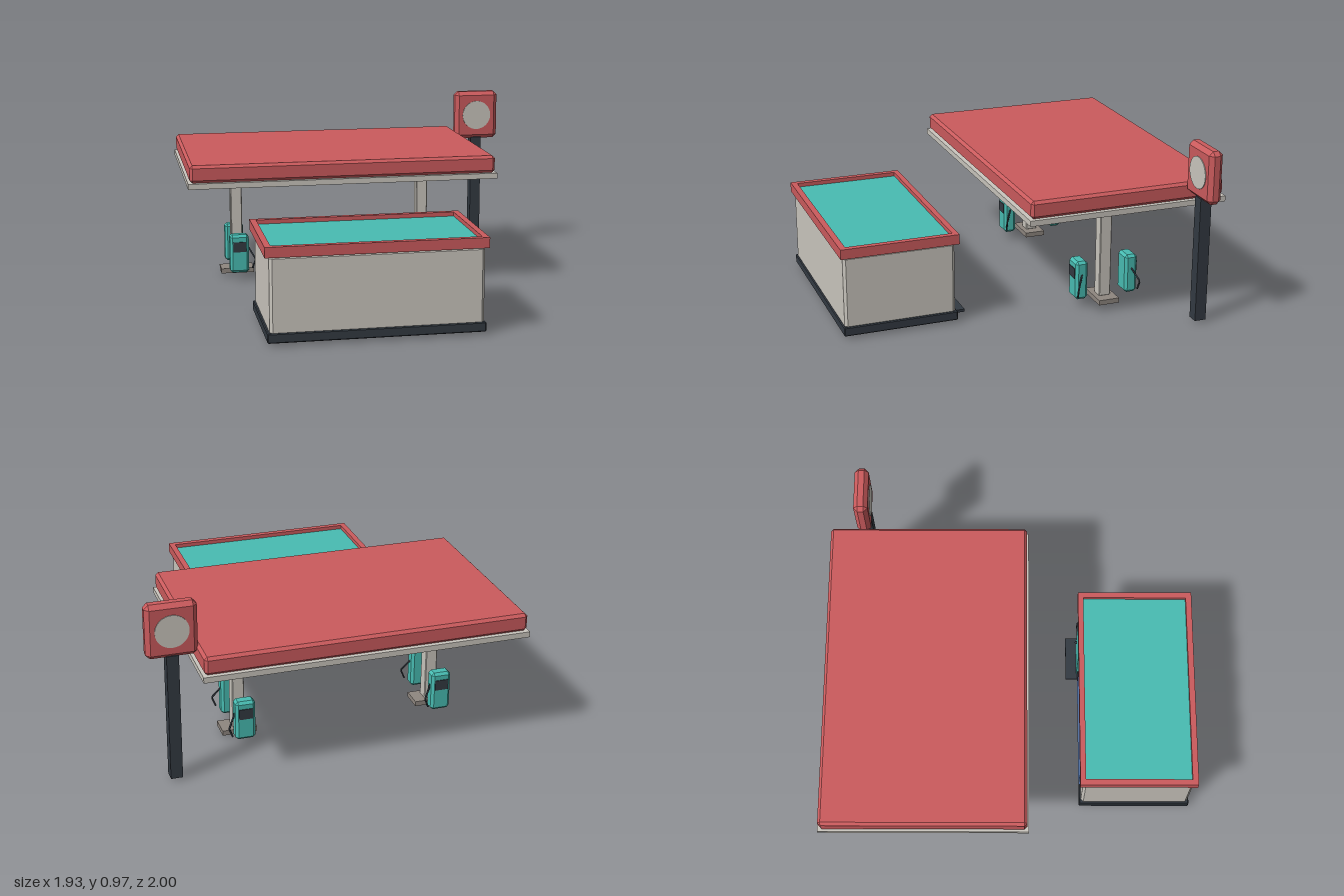
import * as THREE from 'three';
import { ConvexGeometry } from 'three/addons/geometries/ConvexGeometry.js';

const paint = (name, color) => {
  const m = new THREE.MeshStandardMaterial({ color });
  m.name = name;
  return m;
};

export function createModel() {
  const red = paint('red', 0xcb5b5d);
  const teal = paint('teal', 0x48bcb2);
  const cream = paint('cream', 0xcac6be);
  const dark = paint('charcoal', 0x333a42);
  const blue = paint('window blue', 0x5f83bd);
  const stone = paint('stone', 0x8f8780);

  const model = new THREE.Group();
  model.name = 'fuelStation';

  const add = (parent, name, geometry, material) => {
    const mesh = new THREE.Mesh(geometry, material);
    mesh.name = name;
    parent.add(mesh);
    return mesh;
  };

  // Box from min/max ranges; a chamfer above zero bevels every edge.
  const block = (parent, name, material, [x0, x1], [y0, y1], [z0, z1], chamfer = 0) => {
    const w = x1 - x0, h = y1 - y0, d = z1 - z0;
    let geometry = new THREE.BoxGeometry(w, h, d);
    if (chamfer > 0) {
      const points = [];
      for (const i of [-1, 1]) for (const j of [-1, 1]) for (const k of [-1, 1]) {
        for (let axis = 0; axis < 3; axis++) {
          const inset = [chamfer, chamfer, chamfer];
          inset[axis] = 0;
          points.push(new THREE.Vector3(
            i * (w / 2 - inset[0]), j * (h / 2 - inset[1]), k * (d / 2 - inset[2])));
        }
      }
      geometry = new ConvexGeometry(points);
    }
    const mesh = add(parent, name, geometry, material);
    mesh.position.set((x0 + x1) / 2, (y0 + y1) / 2, (z0 + z1) / 2);
    return mesh;
  };

  const group = (name) => {
    const g = new THREE.Group();
    g.name = name;
    model.add(g);
    return g;
  };

  // Canopy
  const canopy = group('canopy');
  block(canopy, 'canopySoffit', cream, [-0.965, 0.725], [0.605, 0.635], [-1, 0.095]);
  block(canopy, 'canopyRoof', red, [-0.955, 0.715], [0.635, 0.73], [-0.99, 0.085], 0.015);

  // Columns with a pump on either side
  for (const x of [-0.66, 0.418]) {
    const island = group('pumpIsland');
    block(island, 'columnBase', stone, [x - 0.093, x + 0.093], [0.015, 0.042], [-0.506, -0.39]);
    block(island, 'column', cream, [x - 0.032, x + 0.032], [0.04, 0.606], [-0.481, -0.415], 0.004);
    for (const [z, s] of [[-0.305, 1], [-0.593, -1]]) {
      const pump = new THREE.Group();
      pump.name = 'pump';
      pump.position.set(x, 0, z);
      island.add(pump);
      block(pump, 'pumpBody', teal, [-0.053, 0.053], [0.045, 0.262], [-0.035, 0.035], 0.014);
      const face = s * 0.036;
      block(pump, 'pumpScreen', dark, [-0.036, 0.036], [0.165, 0.222], [face - 0.003, face + 0.003]);
      const hose = new THREE.CurvePath();
      const path = [[0.05, 0.188, 0], [0.09, 0.12, s * 0.035], [0.07, 0.07, s * 0.03]]
        .map((p) => new THREE.Vector3(...p));
      hose.add(new THREE.LineCurve3(path[0], path[1]));
      hose.add(new THREE.LineCurve3(path[1], path[2]));
      add(pump, 'pumpHose', new THREE.TubeGeometry(hose, 12, 0.005, 6), dark);
    }
  }

  // Shop
  const shop = group('shop');
  block(shop, 'shopPlinth', dark, [-0.665, 0.425], [0.015, 0.065], [0.38, 0.992], 0.005);
  block(shop, 'shopWalls', cream, [-0.652, 0.416], [0.05, 0.447], [0.39, 0.985], 0.014);

  // Raised rim around the flat roof
  const rim = new THREE.Shape();
  rim.moveTo(-0.675, -1).lineTo(0.433, -1).lineTo(0.433, -0.37).lineTo(-0.675, -0.37).closePath();
  const opening = new THREE.Path();
  opening.moveTo(-0.643, -0.968).lineTo(-0.643, -0.4).lineTo(0.401, -0.4).lineTo(0.401, -0.968).closePath();
  rim.holes.push(opening);
  const rimMesh = add(shop, 'roofRim',
    new THREE.ExtrudeGeometry(rim, { depth: 0.053, bevelEnabled: false }), red);
  rimMesh.rotation.x = -Math.PI / 2;
  rimMesh.position.y = 0.443;
  block(shop, 'roofDeck', teal, [-0.645, 0.403], [0.444, 0.474], [0.398, 0.97]);

  // Shop entrance at the back, facing the pumps
  block(shop, 'shopWindow', blue, [-0.56, 0.04], [0.085, 0.322], [0.377, 0.386]);
  block(shop, 'windowMount', cream, [-0.555, 0.035], [0.09, 0.317], [0.385, 0.395]);
  block(shop, 'door', teal, [0.12, 0.305], [0.03, 0.303], [0.376, 0.391]);
  block(shop, 'doorSill', dark, [0.12, 0.305], [0, 0.03], [0.374, 0.39]);
  block(shop, 'doorStep', dark, [0.087, 0.336], [0.015, 0.03], [0.314, 0.385]);
  const knob = add(shop, 'doorKnob', new THREE.SphereGeometry(0.008, 10, 8), dark);
  knob.position.set(0.268, 0.145, 0.371);

  // Roadside sign with a plain disc on both faces
  const sign = group('sign');
  block(sign, 'signPost', dark, [0.805, 0.866], [0.013, 0.69], [-0.841, -0.779]);
  block(sign, 'signBox', red, [0.707, 0.965], [0.683, 0.966], [-0.848, -0.772], 0.022);
  for (const s of [-1, 1]) {
    const disc = add(sign, 'signDisc', new THREE.CylinderGeometry(0.085, 0.085, 0.008, 32), cream);
    disc.rotation.x = Math.PI / 2;
    disc.position.set(0.836, 0.825, -0.81 + s * 0.038);
  }

  return model;
}
